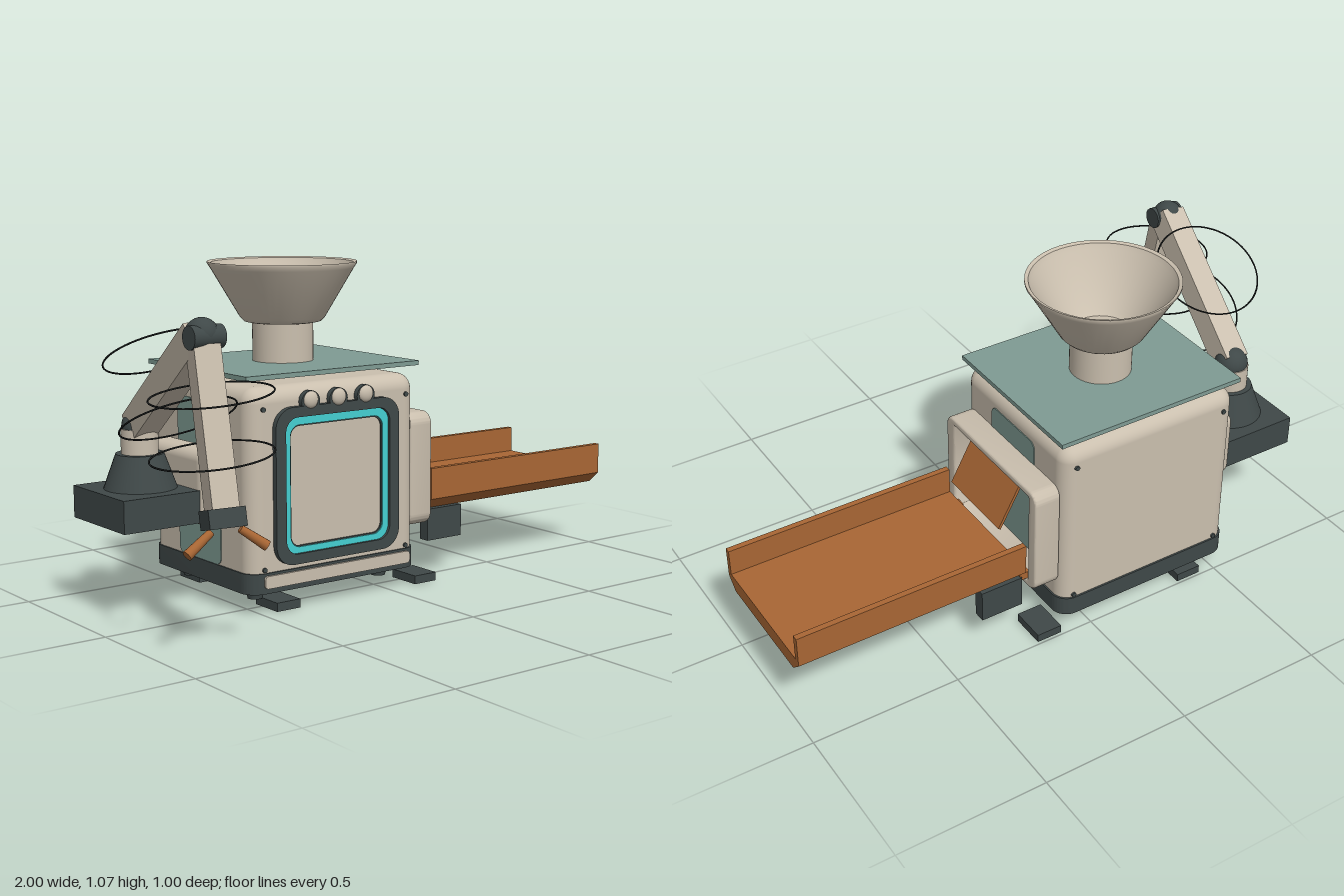
import * as THREE from 'three';
import { toCreasedNormals } from 'three/addons/utils/BufferGeometryUtils.js';
import { RoundedBoxGeometry } from 'three/addons/geometries/RoundedBoxGeometry.js';

const V = (x, y, z) => new THREE.Vector3(x, y, z);

function material(name, color, side = THREE.FrontSide) {
  const m = new THREE.MeshStandardMaterial({ color, side });
  m.name = name;
  return m;
}

// Rounded rectangle centred on the origin
function roundRect(w, h, r, Type = THREE.Shape) {
  const s = new Type(), x = w / 2, y = h / 2;
  s.moveTo(-x + r, -y);
  s.lineTo(x - r, -y); s.absarc(x - r, -y + r, r, -Math.PI / 2, 0);
  s.lineTo(x, y - r); s.absarc(x - r, y - r, r, 0, Math.PI / 2);
  s.lineTo(-x + r, y); s.absarc(-x + r, y - r, r, Math.PI / 2, Math.PI);
  s.lineTo(-x, -y + r); s.absarc(-x + r, -y + r, r, Math.PI, Math.PI * 1.5);
  return s;
}

// Extruded rounded plate, optionally with a rounded opening
function plate(w, h, r, depth, hole, bevel = 0) {
  const s = roundRect(w - 2 * bevel, h - 2 * bevel, r - bevel);
  if (hole) s.holes.push(roundRect(hole[0] + 2 * bevel, hole[1] + 2 * bevel, hole[2], THREE.Path));
  const g = new THREE.ExtrudeGeometry(s, {
    depth: depth - 2 * bevel, curveSegments: 8, bevelEnabled: bevel > 0,
    bevelSize: bevel, bevelThickness: bevel, bevelSegments: 4,
  });
  g.translate(0, 0, bevel);
  return toCreasedNormals(g, 0.6);
}

export function createModel() {
  const model = new THREE.Group();
  model.name = 'machine';
  const cream = material('cream', 0xcabfae);
  const teal = material('sage', 0x7f9b93);
  const dark = material('charcoal', 0x3f4848);
  const orange = material('copper', 0xa86634);
  const cyan = material('cyan', 0x45d0d2);
  const wire = material('wire black', 0x1c1f1f);
  const funnelCream = material('funnel cream', 0xcabfae, THREE.DoubleSide);

  function add(name, geo, mat, x = 0, y = 0, z = 0, rx = 0, ry = 0, rz = 0) {
    const m = new THREE.Mesh(geo, mat);
    m.name = name;
    m.position.set(x, y, z);
    m.rotation.set(rx, ry, rz);
    model.add(m);
    return m;
  }
  // Box given by its minimum and maximum corners
  function box(name, mat, a, b) {
    return add(name, new THREE.BoxGeometry(b[0] - a[0], b[1] - a[1], b[2] - a[2]), mat,
      (a[0] + b[0]) / 2, (a[1] + b[1]) / 2, (a[2] + b[2]) / 2);
  }
  // Part whose y axis runs from a to b
  function link(name, mat, a, b, makeGeometry) {
    const d = b.clone().sub(a), m = add(name, makeGeometry(d.length()), mat);
    m.position.copy(a).addScaledVector(d, 0.5);
    m.quaternion.setFromUnitVectors(V(0, 1, 0), d.normalize());
    return m;
  }

  const cx = -0.215, cz = -0.203;

  // Body, base skirt and lid
  add('body', new RoundedBoxGeometry(0.65, 0.631, 0.575, 5, 0.05), cream, cx, 0.39, cz);
  add('baseSkirt', plate(0.66, 0.587, 0.055, 0.065, [0.58, 0.507, 0.03]), dark, cx, 0.13, cz, Math.PI / 2);
  add('basePanel', plate(0.57, 0.04, 0.012, 0.012), cream, -0.21, 0.102, 0.086);
  box('lid', teal, [-0.55, 0.73, -0.49], [0.12, 0.745, 0.085]);

  // Feet and floor pads
  for (const z of [-0.015, -0.395]) {
    for (const x of [-0.46, 0.03])
      add('foot', new THREE.CylinderGeometry(0.032, 0.024, 0.045, 16), dark, x, 0.05, z);
  }
  for (const z of [0.025, -0.43]) {
    for (const x of [-0.4, 0.153])
      add('floorPad', new THREE.BoxGeometry(0.088, 0.028, 0.12), dark, x, 0.014, z);
  }

  // Hopper
  const profile = [[0, 0.872], [0.1, 0.872], [0.115, 0.885], [0.222, 1.045], [0.23, 1.062],
    [0.242, 1.066], [0.242, 1.06], [0.232, 1.045], [0.138, 0.886], [0.125, 0.873], [0.112, 0.87], [0.098, 0.87]];
  add('hopperCone', toCreasedNormals(new THREE.LatheGeometry(profile.map(p => new THREE.Vector2(...p)), 48), 0.7),
    funnelCream, cx, 0, cz);
  add('hopperNeck', new THREE.CylinderGeometry(0.099, 0.099, 0.13, 40), cream, cx, 0.806, cz);

  // Front door
  add('doorFrame', plate(0.48, 0.495, 0.065, 0.02, [0.405, 0.43, 0.045]), dark, cx, 0.393, 0.083);
  add('doorSeal', plate(0.41, 0.435, 0.05, 0.009, [0.36, 0.385, 0.035]), cyan, cx, 0.39, 0.084);
  add('doorInnerRim', plate(0.364, 0.389, 0.037, 0.005, [0.352, 0.377, 0.032]), dark, cx, 0.39, 0.084);

  // Knobs
  for (const x of [-0.322, cx, -0.108]) {
    add('knobCollar', new THREE.CylinderGeometry(0.035, 0.035, 0.018, 24), dark, x, 0.652, 0.092, Math.PI / 2);
    const k = add('knob', new THREE.SphereGeometry(0.028, 20, 14), cream, x, 0.658, 0.098);
    k.scale.z = 0.6;
  }

  // Corner screws, front and back
  for (const z of [0.086, -0.492]) for (const x of [-0.49, 0.065]) for (const y of [0.14, 0.64])
    add('screw', new THREE.CylinderGeometry(0.008, 0.008, 0.008, 10), dark, x, y, z, Math.PI / 2);

  // Side inlay panels
  for (const s of [-1, 1])
    add('sidePanel', plate(0.245, 0.515, 0.025, 0.004), teal, cx + s * 0.324, 0.388, cz, 0, s * Math.PI / 2);

  // Outlet surround and flap
  add('outletSurround', plate(0.53, 0.378, 0.04, 0.09, [0.44, 0.325, 0.01], 0.008), cream,
    0.108, 0.378, -0.205, 0, Math.PI / 2);
  link('outletFlap', orange, V(0.165, 0.54, cz), V(0.25, 0.385, cz), l => new THREE.BoxGeometry(0.01, l, 0.285));

  // Output tray with chamfered underside
  const tray = new THREE.Shape([[-0.242, 0.37], [-0.242, 0.265], [-0.2, 0.227], [0.2, 0.227], [0.242, 0.265],
    [0.242, 0.37], [0.222, 0.37], [0.222, 0.28], [-0.222, 0.28], [-0.222, 0.37]].map(p => new THREE.Vector2(...p)));
  add('outputTray', new THREE.ExtrudeGeometry(tray, { depth: 0.785, bevelEnabled: false }), orange,
    0.215, 0, cz, 0, Math.PI / 2);
  for (const z of [0, -0.403]) {
    box('trayBracket', dark, [0.215, 0.12, z - 0.02], [0.362, 0.228, z + 0.02]);
    box('trayTab', orange, [0.185, 0.215, z - 0.016], [0.22, 0.24, z + 0.016]);
  }

  // Arm mount and pedestal
  add('armMount', new RoundedBoxGeometry(0.1, 0.24, 0.355, 4, 0.035), cream, -0.588, 0.39, -0.207);
  box('armBase', dark, [-0.9, 0.285, -0.365], [-0.63, 0.387, -0.05]);
  add('armPedestal', new THREE.CylinderGeometry(0.075, 0.115, 0.11, 32), dark, -0.75, 0.44, -0.21);
  add('armCollar', new THREE.CylinderGeometry(0.058, 0.058, 0.08, 28), cream, -0.75, 0.533, -0.21);

  // Jointed arm
  const shoulder = V(-0.75, 0.58, -0.21), elbow = V(-0.81, 0.905, 0.257), wrist = V(-0.825, 0.4, 0.377);
  add('shoulderJoint', new THREE.SphereGeometry(0.055, 24, 16), dark, ...shoulder);
  link('upperArm', cream, shoulder, elbow, l => new THREE.BoxGeometry(0.085, l, 0.09));
  add('elbowJoint', new THREE.SphereGeometry(0.05, 24, 16), dark, ...elbow);
  add('elbowPin', new THREE.CylinderGeometry(0.035, 0.035, 0.105, 20), dark, -0.81, 0.9, 0.272, 0, 0, Math.PI / 2);
  link('forearm', cream, elbow.clone().lerp(wrist, 0.06), wrist, l => new THREE.BoxGeometry(0.08, l, 0.08));
  const along = wrist.clone().sub(elbow).normalize();
  link('wristBlock', dark, wrist.clone().addScaledVector(along, -0.028),
    wrist.clone().addScaledVector(along, 0.028), l => new THREE.BoxGeometry(0.11, l, 0.092));

  // Gripper fingers
  const finger = l => new THREE.CylinderGeometry(0.012, 0.016, l, 14);
  link('gripperFinger', orange, V(-0.95, 0.312, 0.386), V(-0.868, 0.366, 0.38), finger);
  link('gripperFinger', orange, V(-0.705, 0.312, 0.418), V(-0.775, 0.366, 0.388), finger);

  // Cable loops around the arm
  const ring = new THREE.TorusGeometry(0.178, 0.0028, 6, 56).rotateX(Math.PI / 2);
  for (const [y, z] of [[0.83, -0.015], [0.64, 0.072]])
    add('upperCableLoop', ring, wire, -0.78, y, z, -0.48);
  for (const y of [0.742, 0.57])
    add('lowerCableLoop', ring, wire, -0.82, y, 0.318, 0, 0, 0.1);

  return model;
}
